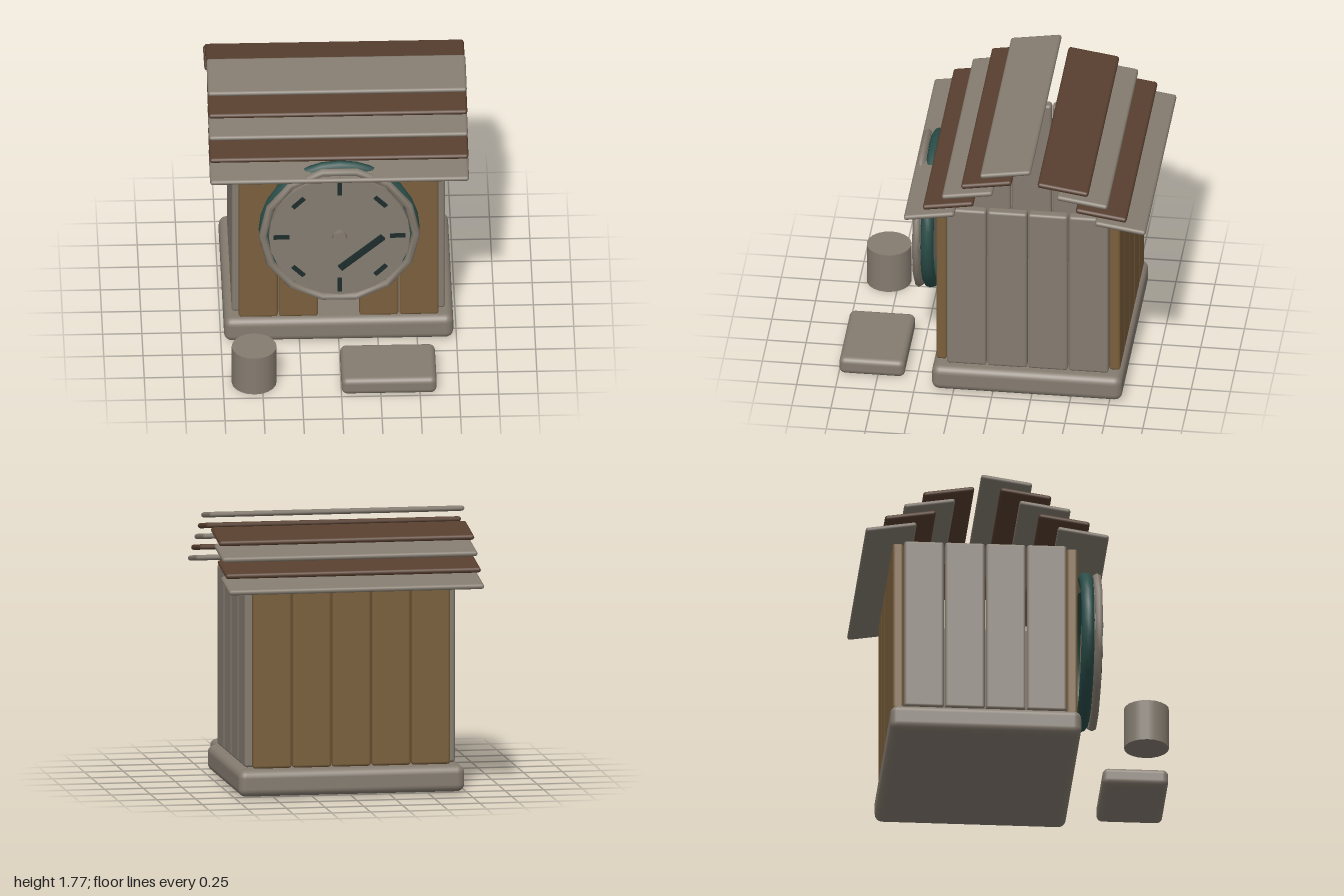
import * as THREE from 'three';
import { RoundedBoxGeometry } from 'three/addons/geometries/RoundedBoxGeometry.js';

const mat = (name, color) => {
  const m = new THREE.MeshStandardMaterial({ color });
  m.name = name;
  return m;
};

export function createModel() {
  const stone = mat('warm grey', 0x857c70);
  const wood = mat('plank brown', 0x7a5f3c);
  const darkWood = mat('dark brown', 0x583f2f);
  const teal = mat('teal', 0x2a4d48);
  const ink = mat('dark slate', 0x1e2d2d);

  const model = new THREE.Group();
  model.name = 'clockHut';

  const add = (parent, name, geometry, material, x, y, z) => {
    const mesh = new THREE.Mesh(geometry, material);
    mesh.name = name;
    mesh.position.set(x, y, z);
    parent.add(mesh);
    return mesh;
  };
  const group = (name) => {
    const g = new THREE.Group();
    g.name = name;
    model.add(g);
    return g;
  };

  // Base slab
  add(model, 'base', new RoundedBoxGeometry(1.46, 0.17, 1.22, 3, 0.05), stone, 0, 0.095, -0.22);

  // Walls: five planks front and back (the front leaves a doorway), four on each side
  const walls = group('walls');
  const endPlank = new RoundedBoxGeometry(0.25, 1.16, 0.07, 2, 0.018);
  for (let i = -2; i <= 2; i++) {
    if (i !== 0) add(walls, 'frontPlank', endPlank, wood, i * 0.256, 0.77, 0.335);
    add(walls, 'backPlank', endPlank, wood, i * 0.256, 0.77, -0.775);
  }
  const sidePlank = new RoundedBoxGeometry(0.07, 1.16, 0.254, 2, 0.018);
  for (const side of [-1, 1]) {
    for (let i = 0; i < 4; i++) {
      add(walls, 'sidePlank', sidePlank, stone, side * 0.645, 0.77, 0.17 - i * 0.261);
    }
  }

  // Roof: overlapping slats, five on the front slope and four on the back
  const roof = group('roof');
  const slat = new RoundedBoxGeometry(1.65, 0.034, 0.33, 1, 0.0165);
  const tilt = 0.155;
  for (let i = 0; i < 5; i++) {
    const material = i % 2 ? darkWood : stone;
    const y = 1.727 - i * 0.0875;
    const front = add(roof, 'frontSlat', slat, material, 0, y, -0.097 + i * 0.1225);
    front.rotation.x = tilt;
    if (i === 0) continue;
    const back = add(roof, 'backSlat', slat, material, 0, y, -0.343 - i * 0.1225);
    back.rotation.x = -tilt;
  }

  // Clock: teal backing ring, faceted grey rim, face, marks, hand and hub
  const clock = group('clock');
  clock.position.set(0, 0.925, 0);
  add(clock, 'backRing', new THREE.TorusGeometry(0.47, 0.043, 10, 28), teal, 0, 0, 0.449);
  add(clock, 'rim', new THREE.TorusGeometry(0.488, 0.027, 6, 14), stone, 0, 0, 0.518);
  const face = add(clock, 'face', new THREE.CylinderGeometry(0.45, 0.45, 0.08, 24), stone, 0, 0, 0.5);
  face.rotation.x = Math.PI / 2;
  const markGeometry = new THREE.BoxGeometry(0.1, 0.028, 0.014);
  for (let i = 0; i < 8; i++) {
    const a = i * Math.PI / 4;
    const mark = add(clock, 'hourMark', markGeometry, ink, 0.37 * Math.cos(a), 0.37 * Math.sin(a), 0.543);
    mark.rotation.z = -a;
  }
  const hand = add(clock, 'hand', new THREE.BoxGeometry(0.36, 0.04, 0.022), ink, 0.14, -0.123, 0.549);
  hand.rotation.z = 0.71;
  const hub = add(clock, 'hub', new THREE.CylinderGeometry(0.047, 0.047, 0.05, 8), stone, 0, 0, 0.55);
  hub.rotation.x = Math.PI / 2;

  // Stump and stepping stone in front
  add(model, 'stump', new THREE.CylinderGeometry(0.143, 0.143, 0.275, 20), stone, -0.552, 0.1375, 0.815);
  add(model, 'stepStone', new RoundedBoxGeometry(0.605, 0.118, 0.42, 3, 0.038), stone, 0.303, 0.064, 0.787);

  return model;
}
